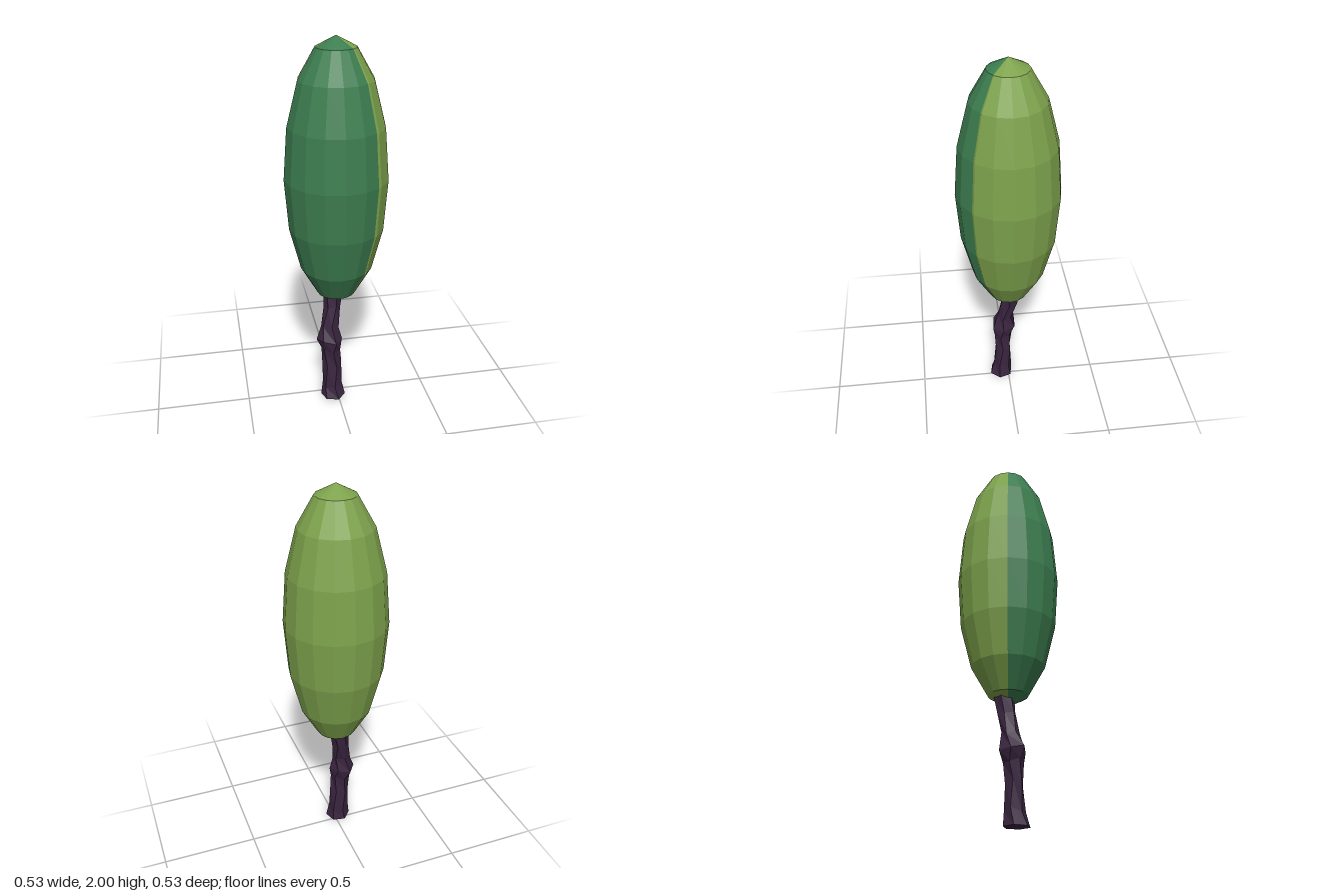
import * as THREE from 'three';

const foliageDark = new THREE.MeshStandardMaterial({ color: 0x3d7e50, flatShading: true });
const foliageLight = new THREE.MeshStandardMaterial({ color: 0x7da24c, flatShading: true });
const bark = new THREE.MeshStandardMaterial({ color: 0x3a2540, flatShading: true });

// Skin a stack of rings (bottom to top) with faceted quads, skipping collapsed triangles
function loft(name, rings, material) {
  const pos = [];
  const tri = (a, b, c) => {
    const area = b.clone().sub(a).cross(c.clone().sub(a)).length();
    if (area > 1e-8) for (const p of [a, b, c]) pos.push(p.x, p.y, p.z);
  };
  for (let i = 0; i < rings.length - 1; i++) {
    for (let j = 0; j < rings[i].length - 1; j++) {
      const a = rings[i][j], b = rings[i][j + 1];
      const c = rings[i + 1][j + 1], d = rings[i + 1][j];
      tri(a, d, c);
      tri(a, c, b);
    }
  }
  const geometry = new THREE.BufferGeometry();
  geometry.setAttribute('position', new THREE.Float32BufferAttribute(pos, 3));
  geometry.computeVertexNormals();
  const mesh = new THREE.Mesh(geometry, material);
  mesh.name = name;
  return mesh;
}

// Sector of a tall ellipsoid; columns are [angle in degrees, radius]
function crownSector(name, columns, material) {
  const rings = [];
  for (let i = 0; i <= 8; i++) {
    const t = (i / 8) * Math.PI;
    rings.push(columns.map(([deg, r]) => {
      const a = THREE.MathUtils.degToRad(deg), s = Math.sin(t) * r;
      return new THREE.Vector3(Math.cos(a) * s, 1.297 - Math.cos(t) * 0.703, Math.sin(a) * s);
    }));
  }
  return loft(name, rings, material);
}

export function createModel() {
  const tree = new THREE.Group();
  tree.name = 'tree';

  // Crown: a dark front sector, and a light remainder that overlaps it with a thin lip
  const dark = [[48, 0.262]], light = [];
  for (let k = 3; k <= 8; k++) dark.push([k * 22.5, 0.266]);
  for (let k = 8; k <= 18; k++) light.push([k * 22.5, 0.267]);
  light.push([408, 0.262]);
  tree.add(crownSector('darkFoliage', dark, foliageDark));
  tree.add(crownSector('lightFoliage', light, foliageLight));

  // Trunk: crooked six-sided sections, [y, centre x, centre z, radius x, radius z, twist]
  const sections = [
    [0, -0.025, 0.04, 0.067, 0.067, 0.2],
    [0.07, -0.028, 0.032, 0.054, 0.052, 0.4],
    [0.2, -0.03, 0.028, 0.053, 0.046, 0.1],
    [0.3, -0.035, 0.026, 0.053, 0.05, 0.4],
    [0.36, -0.042, 0.021, 0.07, 0.07, 0.1],
    [0.44, -0.037, 0.012, 0.05, 0.044, 0.45],
    [0.55, -0.022, -0.01, 0.045, 0.049, 0.15],
    [0.66, -0.01, -0.024, 0.055, 0.055, 0.3],
  ];
  const rings = sections.map(([y, cx, cz, rx, rz, twist]) => {
    const ring = [];
    for (let k = 0; k <= 6; k++) {
      const a = ((k % 6) / 6) * Math.PI * 2 + twist;
      const lift = y === 0 ? 0 : 0.012 * Math.sin(a * 2 + y * 9);
      ring.push(new THREE.Vector3(cx + rx * Math.cos(a), y + lift, cz + rz * Math.sin(a)));
    }
    return ring;
  });
  // Collapsed end rings close the trunk
  const cap = ([y, cx, cz]) => Array.from({ length: 7 }, () => new THREE.Vector3(cx, y, cz));
  rings.unshift(cap(sections[0]));
  rings.push(cap(sections[sections.length - 1]));
  tree.add(loft('trunk', rings, bark));

  return tree;
}
